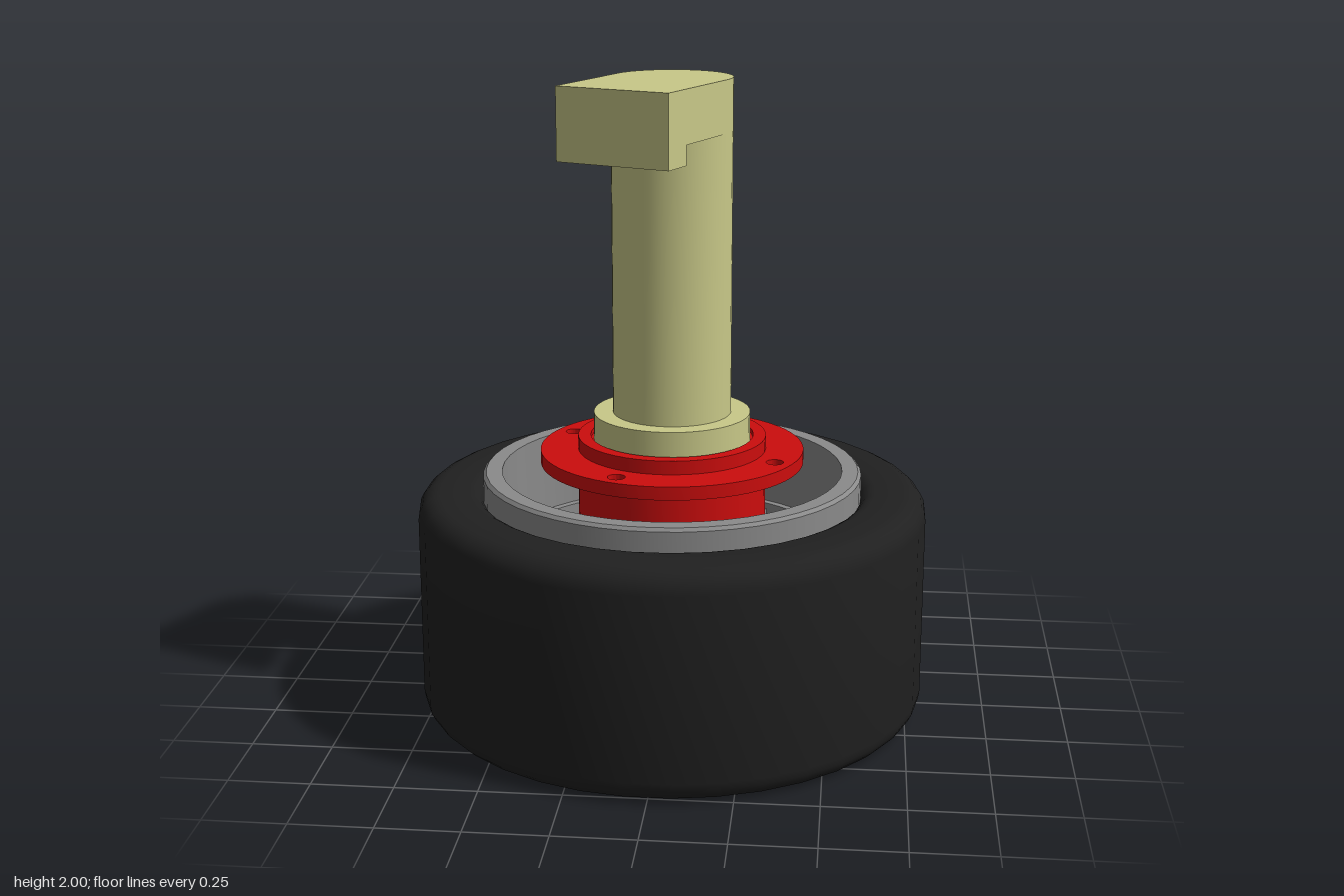
import * as THREE from 'three';
import { toCreasedNormals } from 'three/addons/utils/BufferGeometryUtils.js';

const paint = (color) => new THREE.MeshStandardMaterial({ color });

export function createModel() {
  const root = new THREE.Group();
  const black = paint(0x202020), grey = paint(0x8a8a8a), dark = paint(0x5a5a5a);
  const red = paint(0xcc0d0d), khaki = paint(0xc8c888);

  const add = (name, geometry, material, parent = root) => {
    const mesh = new THREE.Mesh(geometry, material);
    mesh.name = name;
    parent.add(mesh);
    return mesh;
  };
  // Closed profile of [radius, y], running up the outside and down the inside
  const lathe = (profile, segments = 48, start = 0) => {
    const pts = [...profile, profile[0]].map(([r, y]) => new THREE.Vector2(r, y));
    return toCreasedNormals(new THREE.LatheGeometry(pts, segments, start), 0.6);
  };
  // Plan shape (x, -z) extruded upwards from y0 to y1
  const slab = (shape, y0, y1) => {
    const g = new THREE.ExtrudeGeometry(shape, { depth: y1 - y0, bevelEnabled: false, curveSegments: 32 });
    g.rotateX(-Math.PI / 2).translate(0, y0, 0);
    return toCreasedNormals(g, 0.6);
  };

  // Tyre with rounded shoulders
  const tyre = [];
  const corner = (r, y, rad, from) => {
    for (let i = 0; i <= 5; i++) {
      const a = from + (i / 5) * Math.PI / 2;
      tyre.push([r + rad * Math.cos(a), y + rad * Math.sin(a)]);
    }
  };
  corner(0.73, 0.07, 0.07, -Math.PI / 2);
  corner(0.73, 0.645, 0.07, 0);
  corner(0.64, 0.665, 0.05, Math.PI / 2);
  corner(0.64, 0.05, 0.05, Math.PI);
  add('tyre', lathe(tyre, 36, Math.PI / 36), black);

  // Rim barrel standing slightly proud of the tyre
  add('rim', lathe([[0.535, 0.04], [0.595, 0.04], [0.595, 0.765], [0.585, 0.775], [0.535, 0.775]]), grey);

  // Half ring and spokes on the back half of the wheel
  const spokes = new THREE.Group();
  spokes.name = 'spokes';
  root.add(spokes);
  const half = new THREE.Shape();
  half.absarc(0, 0, 0.54, 0, Math.PI, false);
  half.absarc(0, 0, 0.51, Math.PI, 0, true);
  add('spokeRing', slab(half, 0.4, 0.52), grey, spokes);
  for (let i = 0; i < 4; i++) {
    // The end spokes are only half as wide
    const lo = i === 0 ? 0 : -0.03, hi = i === 3 ? 0 : 0.03;
    const bar = new THREE.Shape([[0.2, lo], [0.52, lo], [0.52, hi], [0.2, hi]].map(([x, y]) => new THREE.Vector2(x, y)));
    add('spoke', slab(bar, 0.4, 0.5), grey, spokes).rotation.y = i * Math.PI / 3;
  }

  // Hub disc with the axle through it
  add('hub', lathe([[0.085, 0.26], [0.24, 0.26], [0.24, 0.45], [0.085, 0.45]]), dark);
  add('axle', new THREE.CylinderGeometry(0.037, 0.037, 0.78, 24).translate(0, 0.52, 0), khaki);

  // Red housing: hollow barrel and drilled flange
  add('housing', lathe([[0.245, 0.37], [0.295, 0.37], [0.295, 0.885], [0.255, 0.885], [0.255, 0.87], [0.245, 0.87]]), red);
  const flange = new THREE.Shape().absarc(0, 0, 0.413, 0, Math.PI * 2, false);
  const drill = (x, y, r) => flange.holes.push(new THREE.Path().absarc(x, y, r, 0, Math.PI * 2, true));
  drill(0, 0, 0.28);
  for (let i = 0; i < 4; i++) {
    const a = THREE.MathUtils.degToRad(67.5 + i * 90);
    drill(0.357 * Math.cos(a), 0.357 * Math.sin(a), 0.027);
  }
  add('flange', slab(flange, 0.8, 0.842), red);

  // Column on its stepped base
  add('columnBase', new THREE.CylinderGeometry(0.245, 0.245, 0.12, 48).translate(0, 0.9, 0), khaki);
  add('column', toCreasedNormals(new THREE.CylinderGeometry(0.185, 0.185, 0.92, 48).translate(0, 1.4, 0), 0.6), khaki);

  // Arm on top with a downward lip, turned to the front right
  const arm = new THREE.Group();
  arm.name = 'arm';
  arm.rotation.y = THREE.MathUtils.degToRad(-22.5);
  root.add(arm);
  const plan = new THREE.Shape();
  plan.moveTo(-0.185, -0.37);
  plan.lineTo(0.185, -0.37);
  plan.lineTo(0.185, 0);
  plan.absarc(0, 0, 0.185, 0, Math.PI, false);
  plan.closePath();
  add('armBlock', slab(plan, 1.84, 2), khaki, arm);
  add('armLip', new THREE.BoxGeometry(0.37, 0.08, 0.108).translate(0, 1.82, 0.316), khaki, arm);

  return root;
}
